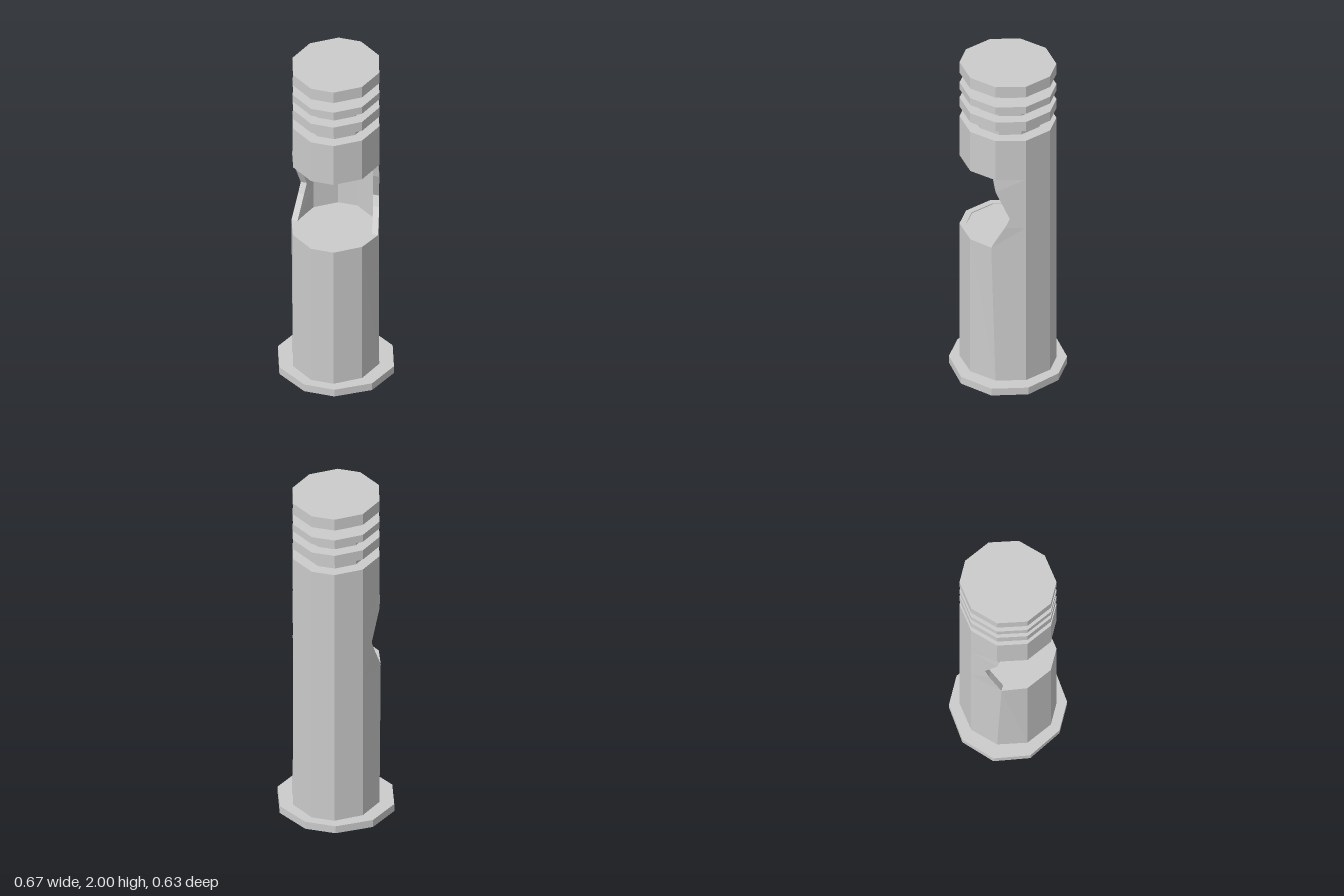
import * as THREE from 'three';

// Ten-sided outline used by the whole post, slightly deeper than wide
const QUARTER = [[0.25, 0], [0.2, 0.16], [0.065, 0.26]];
const INNER = 0.86;

function outline(sx, sz = sx) {
  const front = QUARTER.map(([x, z]) => new THREE.Vector2(x * sx, z * sz));
  const half = [...front, ...front.slice(1).reverse().map(p => new THREE.Vector2(-p.x, p.y))];
  return [...half, ...half.map(p => new THREE.Vector2(-p.x, -p.y))]
    .filter((p, i, all) => all.findIndex(q => q.distanceTo(p) < 1e-6) === i)
    .sort((a, b) => Math.atan2(a.y, a.x) - Math.atan2(b.y, b.x));
}

// Upright decagonal slab between two heights, optionally bored through
function slab(y0, y1, sx, sz = sx, hole = 0) {
  const shape = new THREE.Shape(outline(sx, sz));
  if (hole) shape.holes.push(new THREE.Path(outline(hole).reverse()));
  const geo = new THREE.ExtrudeGeometry(shape, { depth: y1 - y0, bevelEnabled: false });
  return geo.rotateX(-Math.PI / 2).translate(0, y0, 0);
}

// Open C-shaped section: outer wall round the back, then inner wall back again
function cSection(y, cut) {
  const arc = s => {
    const x = cut < 0 ? (0.25 * s + cut * 0.05 / 0.16) : 0.25 * s;
    const side = [[x, cut], [0.2 * s, -0.16 * s], [0.065 * s, -0.26 * s]];
    return [...side, ...side.slice().reverse().map(([px, pz]) => [-px, pz])];
  };
  return [...arc(1), ...arc(INNER).reverse()].map(([x, z]) => [x, y, z]);
}

// Skin a stack of closed sections
function loft(sections) {
  const n = sections[0].length, index = [];
  for (let i = 0; i < sections.length - 1; i++) {
    for (let j = 0; j < n; j++) {
      const a = i * n + j, b = i * n + (j + 1) % n;
      index.push(a, b, b + n, a, b + n, a + n);
    }
  }
  const geo = new THREE.BufferGeometry();
  geo.setAttribute('position', new THREE.Float32BufferAttribute(sections.flat(2), 3));
  geo.setIndex(index);
  const flat = geo.toNonIndexed();
  flat.computeVertexNormals();
  return flat;
}

export function createModel() {
  const group = new THREE.Group();
  const material = new THREE.MeshStandardMaterial({ color: 0xcccccc, flatShading: true });
  const wallMaterial = material.clone();
  wallMaterial.side = THREE.DoubleSide;
  const add = (name, geo, mat = material) => {
    const mesh = new THREE.Mesh(geo, mat);
    mesh.name = name;
    group.add(mesh);
  };

  // Foot flange, bored underneath
  add('baseFlange', slab(0, 0.045, 1.34, 1.21, INNER));

  // Lower tube; its side corners lean forward to meet the opening
  const lower = slab(0.045, 0.925, 1, 1, INNER);
  const pos = lower.attributes.position;
  for (let i = 0; i < pos.count; i++) {
    if (Math.abs(pos.getX(i)) > 0.24 && pos.getY(i) > 0.5) pos.setZ(i, 0.025);
  }
  lower.computeVertexNormals();
  add('lowerBody', lower);
  add('innerFloor', slab(0.13, 0.92, INNER));

  // Back wall around the opening, with its pinched front edge
  const cuts = [[0.925, 0.025], [1.06, -0.05], [1.12, -0.075], [1.3, 0], [1.38, 0.015]];
  add('backWall', loft(cuts.map(([y, z]) => cSection(y, z))), wallMaterial);

  // Upper block above the opening
  add('upperBody', slab(1.38, 1.64, 1));

  // Alternating necks and fins up to the cap
  [[1.64, 1.705, 0.74], [1.765, 1.82, 0.74], [1.865, 1.93, 0.61]]
    .forEach(([a, b, s], i) => add(`neck${i + 1}`, slab(a, b, s)));
  [[1.705, 1.765], [1.82, 1.865]].forEach(([a, b], i) => add(`fin${i + 1}`, slab(a, b, 1)));
  add('cap', slab(1.93, 2, 1));

  return group;
}
